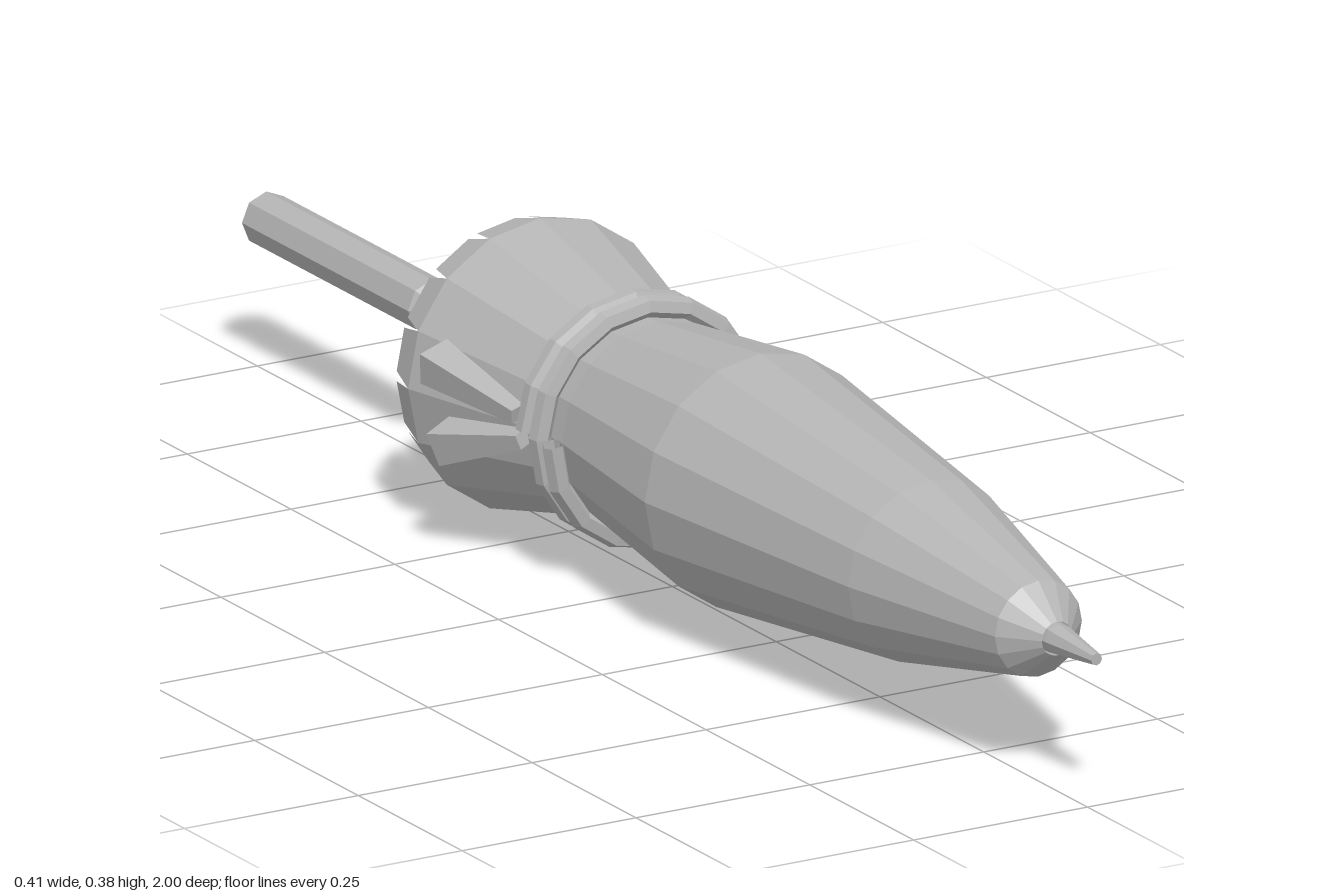
import * as THREE from 'three';

const SIDES = 16;

// Point on a circle about the long axis, angle measured from straight up
const ring = (r, a, z) => new THREE.Vector3(Math.sin(a) * r, Math.cos(a) * r, z);

// Lathe along z from [radius, z] pairs
function latheZ(name, profile, sides, material) {
  const geo = new THREE.LatheGeometry(profile.map(([r, z]) => new THREE.Vector2(r, z)), sides);
  geo.rotateX(Math.PI / 2);
  const mesh = new THREE.Mesh(geo, material);
  mesh.name = name;
  return mesh;
}

// Tapered four-sided bar between two points
function bar(name, from, to, r0, r1, material) {
  const dir = to.clone().sub(from);
  const geo = new THREE.CylinderGeometry(r1, r0, dir.length(), 4);
  geo.rotateY(Math.PI / 4);
  const mesh = new THREE.Mesh(geo, material);
  mesh.position.copy(from).addScaledVector(dir, 0.5);
  mesh.quaternion.setFromUnitVectors(new THREE.Vector3(0, 1, 0), dir.normalize());
  mesh.name = name;
  return mesh;
}

export function createModel() {
  const grey = new THREE.MeshStandardMaterial({ color: 0xb4b4b4, flatShading: true, side: THREE.DoubleSide });
  grey.name = 'grey';

  const model = new THREE.Group();
  model.name = 'wrappedCartridge';
  const axis = new THREE.Group();
  axis.name = 'assembly';
  axis.position.set(0.013, 0.193, 0);
  model.add(axis);

  // Hollow casing with a pinched neck and an open flared end
  axis.add(latheZ('casing', [
    [0.19, -0.34], [0.134, -0.11], [0.136, -0.06], [0.166, 0.19],
    [0.119, 0.6], [0.0625, 0.86], [0.022, 0.905],
  ], SIDES, grey));

  // Teeth folded slightly inward round the flared rim
  const pos = [];
  const step = (Math.PI * 2) / SIDES;
  for (let i = 0; i < SIDES; i++) {
    const a = ring(0.19, i * step, -0.34), b = ring(0.19, (i + 1) * step, -0.34);
    const c = ring(0.178, i * step, -0.39), d = ring(0.178, (i + 1) * step, -0.39);
    const e = c.clone().lerp(d, 0.1), f = c.clone().lerp(d, 0.9);
    for (const p of [a, b, f, a, f, e]) pos.push(p.x, p.y, p.z);
  }
  const teethGeo = new THREE.BufferGeometry();
  teethGeo.setAttribute('position', new THREE.Float32BufferAttribute(pos, 3));
  teethGeo.computeVertexNormals();
  const teeth = new THREE.Mesh(teethGeo, grey);
  teeth.name = 'rimTeeth';
  axis.add(teeth);

  // Inner rod, open at the rear, and the pointed nib
  axis.add(latheZ('rod', [
    [0.035, -1], [0.035, -0.6], [0.023, -0.585], [0.023, 0],
  ], 8, grey));
  axis.add(latheZ('nib', [
    [0.021, 0.87], [0.02, 0.91], [0.008, 1], [0, 1],
  ], 8, grey));

  // Cord wound twice round the neck, starting and ending on the right side
  const path = [];
  const turns = 2;
  for (let i = 0; i <= turns * SIDES; i++) {
    const t = i / (turns * SIDES);
    path.push(ring(0.148, -Math.PI / 2 + t * turns * Math.PI * 2, -0.124 + 0.062 * t));
  }
  const cordGeo = new THREE.TubeGeometry(new THREE.CatmullRomCurve3(path), turns * SIDES, 0.0145, 6);
  const cord = new THREE.Mesh(cordGeo, grey);
  cord.name = 'cord';
  axis.add(cord);

  // Two loose cord ends lying back along the flare
  axis.add(bar('upperCordEnd', new THREE.Vector3(-0.158, 0.022, -0.13),
    new THREE.Vector3(-0.192, 0.055, -0.275), 0.014, 0.032, grey));
  axis.add(bar('lowerCordEnd', new THREE.Vector3(-0.156, -0.008, -0.12),
    new THREE.Vector3(-0.192, -0.042, -0.25), 0.014, 0.032, grey));

  return model;
}
